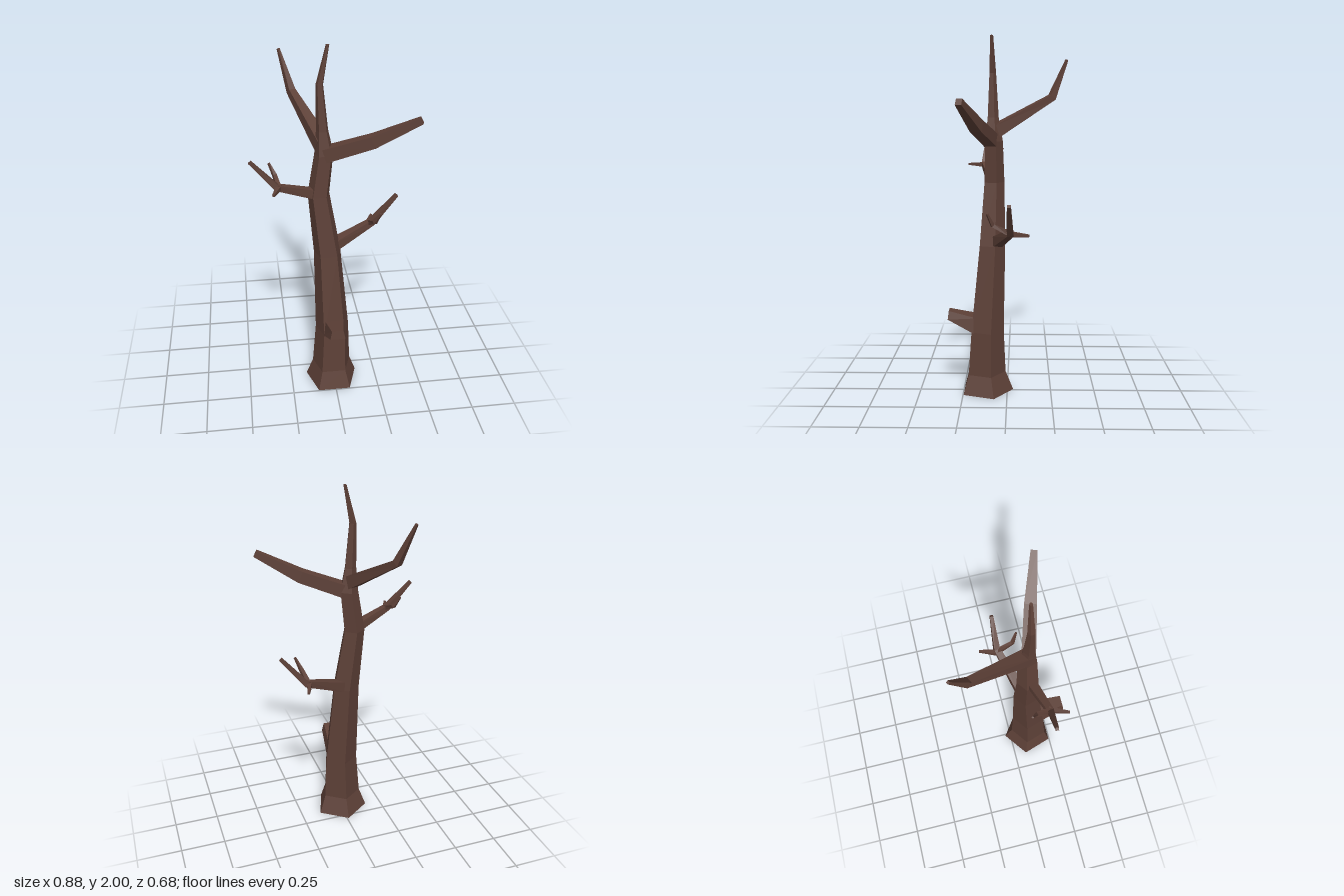
import * as THREE from 'three';

// Faceted tapering limb through points [x, y, z, r]; level = keep rings horizontal
function limb(points, sides, phase, level) {
  const P = points.map(p => new THREE.Vector3(p[0], p[1], p[2]));
  const rings = points.map((p, i) => {
    const right = new THREE.Vector3(1, 0, 0), up = new THREE.Vector3(0, 0, 1);
    if (!level) {
      const d = new THREE.Vector3();
      if (i > 0) d.add(P[i].clone().sub(P[i - 1]).normalize());
      if (i < P.length - 1) d.add(P[i + 1].clone().sub(P[i]).normalize());
      d.normalize();
      right.crossVectors(d, new THREE.Vector3(0, 1, 0)).normalize();
      up.crossVectors(right, d);
    }
    return Array.from({ length: sides }, (_, k) => {
      const a = phase + (k / sides) * Math.PI * 2;
      return P[i].clone().addScaledVector(right, Math.cos(a) * p[3]).addScaledVector(up, Math.sin(a) * p[3]);
    });
  });
  const out = [];
  const tri = (...vs) => vs.forEach(v => out.push(v.x, v.y, v.z));
  const last = rings.length - 1;
  for (let k = 0; k < sides; k++) {
    const n = (k + 1) % sides;
    for (let i = 0; i < last; i++) {
      const a = rings[i], b = rings[i + 1];
      tri(a[k], b[k], a[n]);
      tri(a[n], b[k], b[n]);
    }
    tri(P[0], rings[0][k], rings[0][n]);
    tri(P[last], rings[last][n], rings[last][k]);
  }
  const g = new THREE.BufferGeometry();
  g.setAttribute('position', new THREE.Float32BufferAttribute(out, 3));
  g.computeVertexNormals();
  return g;
}

export function createModel() {
  const tree = new THREE.Group();
  tree.name = 'deadTree';
  const bark = new THREE.MeshStandardMaterial({ color: 0x5d4037, flatShading: true });
  bark.name = 'brown bark';
  const add = (name, geometry) => {
    const m = new THREE.Mesh(geometry, bark);
    m.name = name;
    tree.add(m);
  };

  // Five-sided trunk with flared foot and thin crown
  add('trunk', limb([
    [-0.01, 0, 0.121, 0.155], [-0.01, 0.11, 0.125, 0.115], [-0.005, 0.36, 0.12, 0.1],
    [-0.03, 0.85, 0.09, 0.078], [-0.075, 1.2, 0.078, 0.061], [-0.045, 1.43, 0.078, 0.053],
    [-0.055, 1.56, 0.081, 0.033], [-0.068, 1.8, 0.082, 0.02], [-0.027, 2, 0.085, 0.009],
  ], 5, -Math.PI / 2, true));

  // Four-sided branches and twigs: [x, y, z, radius]
  const branches = {
    upperLeftBranch: [[-0.04, 1.43, 0.085, 0.052], [0.2, 1.52, 0.155, 0.046], [0.425, 1.645, 0.228, 0.024]],
    upperBackBranch: [[-0.055, 1.48, 0.075, 0.05], [-0.185, 1.67, -0.25, 0.027], [-0.242, 1.88, -0.335, 0.009]],
    middleRightBranch: [[-0.08, 1.205, 0.085, 0.037], [-0.3, 1.283, 0.14, 0.023], [-0.433, 1.425, 0.127, 0.012]],
    middleRightBackTwig: [[-0.29, 1.28, 0.14, 0.018], [-0.305, 1.315, 0.06, 0.014], [-0.333, 1.375, 0.033, 0.007]],
    middleRightFrontTwig: [[-0.285, 1.28, 0.13, 0.02], [-0.323, 1.28, 0.233, 0.008]],
    lowerLeftBranch: [[0.0, 0.87, 0.06, 0.042], [0.235, 0.962, -0.02, 0.025], [0.37, 1.125, -0.015, 0.014]],
    lowerLeftFrontTwig: [[0.222, 0.955, -0.025, 0.02], [0.235, 1.005, 0.072, 0.014], [0.262, 1.07, 0.1, 0.007]],
    lowerLeftBackTwig: [[0.215, 0.955, -0.02, 0.02], [0.25, 0.953, -0.12, 0.009]],
  };
  for (const [name, pts] of Object.entries(branches)) add(name, limb(pts, 4, Math.PI / 4, false));

  // Broken stub on the front: a box tapered towards its tip
  const stub = new THREE.BoxGeometry(1, 1, 1).toNonIndexed();
  const pos = stub.attributes.position;
  for (let i = 0; i < pos.count; i++) {
    const top = pos.getY(i) > 0, tip = pos.getZ(i) > 0;
    const half = tip ? (top ? 0.032 : 0.042) : (top ? 0.054 : 0.065);
    const y = tip ? (top ? 0.478 : 0.43) : (top ? 0.442 : 0.345);
    pos.setXYZ(i, -0.004 + Math.sign(pos.getX(i)) * half, y, tip ? (top ? 0.33 : 0.336) : 0.17);
  }
  stub.computeVertexNormals();
  add('frontStub', stub);
  return tree;
}
